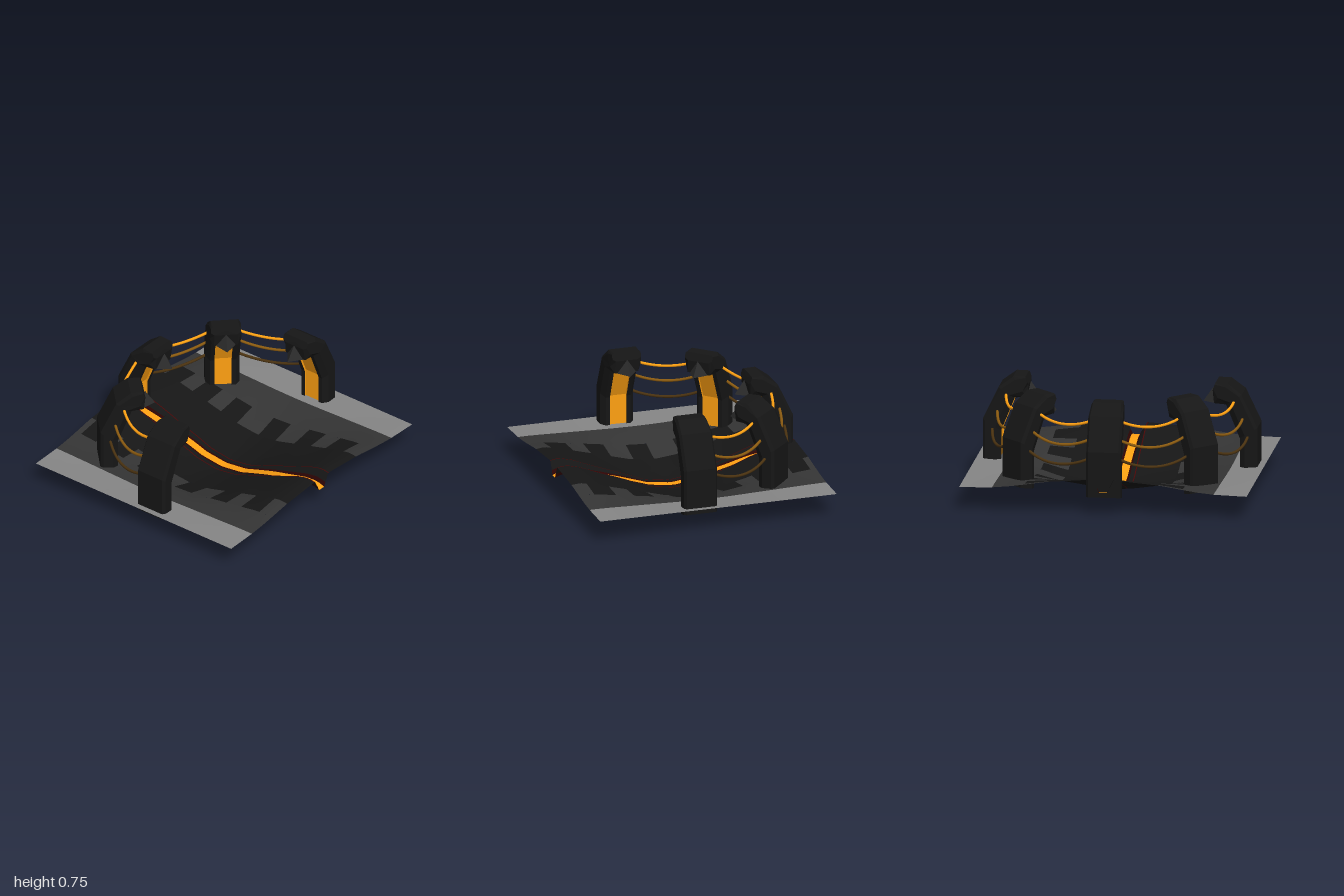
import * as THREE from 'three';

const BLACK = 0x161616, CHARCOAL = 0x343434, GREY = 0x858585, ORANGE = 0xffa012, RED = 0x4a0606;
const HALF_Z = 0.86, EDGE_Y = 0.175, RING_Z = 0.11;

// Piecewise linear lookup in a list of [key, value]
function lookup(list, k) {
  for (let i = 1; i < list.length; i++) {
    const [a, va] = list[i - 1], [b, vb] = list[i];
    if (k <= b) return va + (vb - va) * Math.max(0, (k - a) / (b - a));
  }
  return list[list.length - 1][1];
}

// Surface through equal rows of points
function loft(rows) {
  const n = rows[0].length, idx = [];
  for (let i = 0; i < rows.length - 1; i++) {
    for (let j = 0; j < n - 1; j++) {
      const a = i * n + j, b = a + n;
      idx.push(a, b, a + 1, b, b + 1, a + 1);
    }
  }
  const g = new THREE.BufferGeometry();
  g.setAttribute('position', new THREE.Float32BufferAttribute(rows.flat(2), 3));
  g.setIndex(idx);
  g.computeVertexNormals();
  return g;
}

function part(name, geometry, color, flatShading = true) {
  const m = new THREE.Mesh(geometry, new THREE.MeshStandardMaterial({ color, flatShading, side: THREE.DoubleSide }));
  m.name = name;
  return m;
}

// Height of the curved floor: a valley along z that flattens towards the sides
const VALLEY = [[-0.86, 0.258], [-0.73, 0.23], [-0.55, 0.17], [-0.4, 0.112], [-0.3, 0.08], [-0.17, 0.03], [0, 0.005],
  [0.17, 0.03], [0.3, 0.08], [0.4, 0.12], [0.55, 0.175], [0.7, 0.235], [0.8, 0.26], [0.86, 0.25]];
const SPREAD = [[0, 1], [0.1, 1], [0.19, 0.9], [0.4, 0.69], [0.55, 0.4], [0.65, 0.22], [0.77, 0.08], [1, 0]];
function floorY(x, z) {
  const groove = 0.09 * (z / HALF_Z) ** 2 * lookup([[0, 1], [0.03, 1], [0.065, 0]], Math.abs(x));
  return EDGE_Y + (lookup(VALLEY, z) - EDGE_Y) * lookup(SPREAD, Math.abs(x)) - groove;
}

function floorPatch(name, x0, x1, z0, z1, color) {
  const nx = Math.max(1, Math.ceil((x1 - x0) / 0.06)), nz = Math.max(2, Math.ceil((z1 - z0) / 0.04));
  const rows = [];
  for (let i = 0; i <= nz; i++) {
    const z = z0 + (z1 - z0) * i / nz, row = [];
    for (let j = 0; j <= nx; j++) {
      const x = x0 + (x1 - x0) * j / nx;
      row.push([x, floorY(x, z), z]);
    }
    rows.push(row);
  }
  return part(name, loft(rows), color, false);
}

function makeFloor() {
  const floor = new THREE.Group();
  floor.name = 'floor';
  floor.add(floorPatch('glowStrip', -0.028, 0.028, -HALF_Z, HALF_Z, ORANGE));
  const bands = [
    ['glowMargin', 0.028, 0.042, 0x2c0505], ['grooveWall', 0.042, 0.073, BLACK], ['redLine', 0.073, 0.08, RED],
    ['centreBand', 0.08, 0.38, BLACK], ['middleBand', 0.55, 0.77, CHARCOAL], ['outerBand', 0.77, 1, GREY]];
  // Dark teeth along the centre band
  const cuts = [-HALF_Z, -0.82, -0.69, -0.58, -0.45, -0.33, -0.19, 0, 0.15, 0.315, 0.46, 0.59, 0.75, HALF_Z];
  for (const side of [-1, 1]) {
    const patch = (name, a, b, z0, z1, color) =>
      floor.add(floorPatch(name, Math.min(side * a, side * b), Math.max(side * a, side * b), z0, z1, color));
    for (const [name, a, b, color] of bands) patch(name, a, b, -HALF_Z, HALF_Z, color);
    for (let i = 0; i < cuts.length - 1; i++) {
      const tooth = i % 2 === 1;
      patch(tooth ? 'tooth' : 'toothGap', 0.38, 0.55, cuts[i], cuts[i + 1], tooth ? BLACK : CHARCOAL);
    }
  }
  return floor;
}

// Pylon stations from the foot up: inner radius, y, outer radius, y, width scale
const STATIONS = [
  [0.83, 0.107, 0.955, 0.13, 1], [0.83, 0.37, 0.955, 0.45, 1], [0.735, 0.605, 0.845, 0.68, 1],
  [0.65, 0.61, 0.745, 0.755, 0.93], [0.64, 0.7, 0.66, 0.755, 0.87]];
const HALF_SECTION = [[0.06, 0], [0.09, 0], [0.12, 0.3], [0.12, 0.85], [0.105, 1]];

function section([ri, yi, ro, yo, w], pts) {
  return pts.map(([s, t]) => [s * w, yi + (yo - yi) * t, -(ri + (ro - ri) * t)]);
}

function makePylon(angle) {
  const pylon = new THREE.Group();
  pylon.name = 'pylon';
  const shell = [...HALF_SECTION.map(([s, t]) => [-s, t]), ...[...HALF_SECTION].reverse()];
  const closed = [...shell, shell[0]];
  // Hollow shaft, open below and on the inner face
  pylon.add(part('shaft', loft(STATIONS.slice(0, 3).map(s => section(s, shell))), BLACK));
  // Closed bent head with its end cap
  const head = STATIONS.slice(2).map(s => section(s, closed));
  head.push(closed.map(() => [0, 0.73, -0.65]));
  pylon.add(part('head', loft(head), BLACK));
  // Glowing panel set slightly back in the inner face
  const panel = STATIONS.slice(0, 3).map(s => section(s, [[0.06, 0], [0.06, 0.1], [-0.06, 0.1], [-0.06, 0]]));
  pylon.add(part('glowPanel', loft(panel), ORANGE));
  // Pointed beak under the head
  const beak = new THREE.BufferGeometry();
  beak.setAttribute('position', new THREE.Float32BufferAttribute(
    [0, 0.705, -0.635, -0.068, 0.608, -0.65, 0.068, 0.608, -0.65, 0, 0.605, -0.565], 3));
  beak.setIndex([0, 1, 3, 0, 3, 2, 1, 2, 3, 0, 2, 1]);
  beak.computeVertexNormals();
  pylon.add(part('beak', beak, 0x2a2a2a));
  pylon.rotation.y = angle;
  pylon.position.z = RING_Z;
  return pylon;
}

// Sagging cable following the ring between two pylons
function makeCable(mid, r, y, sag, color) {
  const pts = [];
  for (let i = 0; i <= 8; i++) {
    const t = i / 4 - 1, a = mid + t * 0.27;
    pts.push(new THREE.Vector3(-Math.sin(a) * r, y - sag * (1 - t * t), RING_Z - Math.cos(a) * r));
  }
  return part('cable', new THREE.TubeGeometry(new THREE.CatmullRomCurve3(pts), 24, 0.01, 8), color, false);
}

export function createModel() {
  const model = new THREE.Group();
  model.name = 'pylonArena';
  model.add(makeFloor());
  for (let i = -2; i <= 2; i++) model.add(makePylon(i * Math.PI / 4));
  for (const k of [-1.5, -0.5, 0.5, 1.5]) {
    const mid = k * Math.PI / 4;
    model.add(makeCable(mid, 0.8, 0.635, 0.045, ORANGE));
    model.add(makeCable(mid, 0.86, 0.515, 0.055, 0x8a5a10));
    model.add(makeCable(mid, 0.895, 0.385, 0.055, 0x4a3210));
  }
  return model;
}
